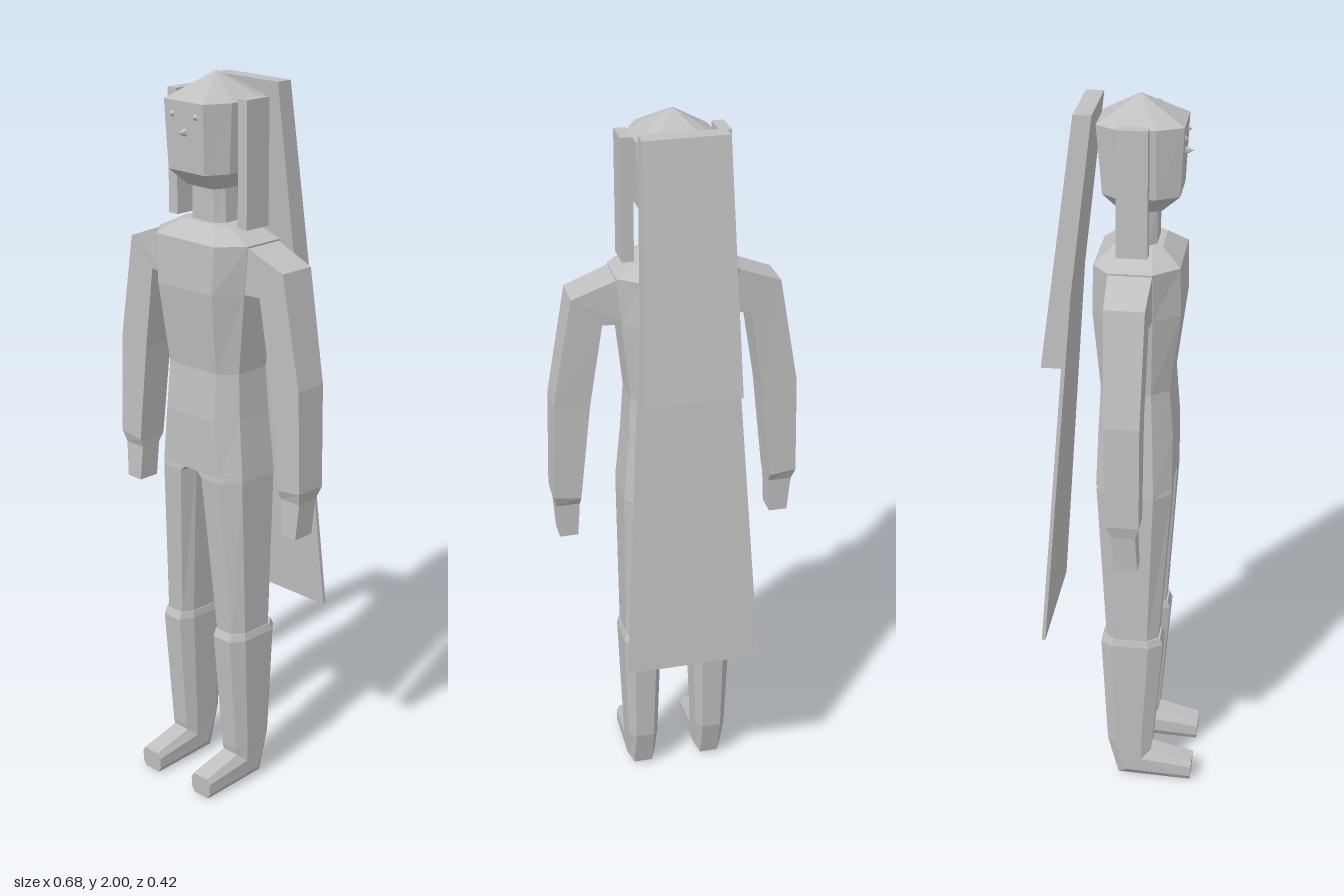
import * as THREE from 'three';

// Octagonal ring. x: [side, flat, flat, side], z: [back, flat, flat, front];
// y may be [back, front] for a tilted ring.
function oct(y, x, z) {
  const [yb, yf] = Array.isArray(y) ? y : [y, y];
  const p = (px, pz) => [px, yb + (yf - yb) * (pz - z[0]) / (z[3] - z[0]), pz];
  return [p(x[2], z[3]), p(x[3], z[2]), p(x[3], z[1]), p(x[2], z[0]),
    p(x[1], z[0]), p(x[0], z[1]), p(x[0], z[2]), p(x[1], z[3])];
}
// Symmetric octagonal ring about x = 0
const body = (y, w, f, z) => oct(y, [-w, -f, f, w], z);
// Four-cornered ring between an inner and outer edge
const quad = (xi, yi, xo, yo, zb, zf) =>
  [[xo, yo, zf], [xo, yo, zb], [xi, yi, zb], [xi, yi, zf]];

// Closed skin over rings listed from bottom to top
function loft(rings, mirror = false) {
  if (mirror) rings = rings.map(r => r.map(([x, y, z]) => [-x, y, z]).reverse());
  const n = rings[0].length, pos = [];
  const tri = (a, b, c) => pos.push(...a, ...b, ...c);
  for (let k = 0; k < rings.length - 1; k++) {
    const lo = rings[k], hi = rings[k + 1];
    for (let i = 0; i < n; i++) {
      const j = (i + 1) % n;
      tri(lo[i], lo[j], hi[j]);
      tri(lo[i], hi[j], hi[i]);
    }
  }
  const first = rings[0], last = rings[rings.length - 1];
  for (let i = 1; i < n - 1; i++) {
    tri(first[0], first[i + 1], first[i]);
    tri(last[0], last[i], last[i + 1]);
  }
  const g = new THREE.BufferGeometry();
  g.setAttribute('position', new THREE.Float32BufferAttribute(pos, 3));
  g.computeVertexNormals();
  return g;
}

export function createModel() {
  const model = new THREE.Group();
  model.name = 'standingFigure';
  const grey = new THREE.MeshStandardMaterial({ color: 0xc0c0c0, flatShading: true });
  grey.name = 'plain grey';
  const add = (name, geometry) => {
    const m = new THREE.Mesh(geometry, grey);
    m.name = name;
    model.add(m);
    return m;
  };

  // Torso from hips to shoulder slope
  add('torso', loft([
    body(0.945, 0.15, 0.105, [-0.065, -0.025, 0.095, 0.14]),
    body(1.1, 0.135, 0.09, [-0.06, -0.02, 0.09, 0.14]),
    body(1.23, 0.127, 0.087, [-0.053, -0.015, 0.085, 0.13]),
    body(1.45, 0.15, 0.1, [-0.072, -0.025, 0.09, 0.158]),
    body(1.58, 0.163, 0.105, [-0.068, -0.025, 0.09, 0.155]),
    body(1.62, 0.08, 0.06, [-0.02, 0.0, 0.08, 0.105]),
  ]));

  // Neck, head and pointed crown
  add('neck', loft([
    body(1.6, 0.06, 0.04, [-0.005, 0.02, 0.065, 0.088]),
    body(1.73, 0.055, 0.038, [-0.008, 0.02, 0.065, 0.09]),
  ]));
  add('head', loft([
    body(1.71, 0.06, 0.045, [-0.01, 0.015, 0.07, 0.1]),
    body(1.755, 0.097, 0.065, [-0.05, -0.01, 0.09, 0.148]),
    body(1.935, 0.105, 0.07, [-0.064, -0.015, 0.09, 0.157]),
    body(2.0, 0.001, 0.0005, [0.039, 0.0395, 0.0405, 0.041]),
  ]));

  // Small pointed eyes and nose
  for (const [name, x, y, len] of [['leftEye', 0.042, 1.9, 0.012],
    ['rightEye', -0.042, 1.9, 0.012], ['nose', 0, 1.857, 0.022]]) {
    const g = new THREE.ConeGeometry(0.011, len, 6).rotateX(Math.PI / 2);
    add(name, g).position.set(x, y, 0.153 + len / 2);
  }

  for (const [side, mirror] of [['left', false], ['right', true]]) {
    // Arm and hand
    add(side + 'Arm', loft([
      quad(0.274, 0.815, 0.325, 0.815, 0.012, 0.075),
      quad(0.268, 0.915, 0.333, 0.915, 0.008, 0.07),
      quad(0.266, 0.94, 0.341, 0.95, -0.008, 0.08),
      quad(0.236, 1.22, 0.334, 1.23, -0.012, 0.08),
      quad(0.2, 1.452, 0.28, 1.53, -0.018, 0.086),
      quad(0.13, 1.45, 0.145, 1.582, -0.025, 0.09),
    ], mirror));

    // Upper leg
    add(side + 'Leg', loft([
      oct(0.47, [0.055, 0.07, 0.125, 0.148], [-0.035, -0.01, 0.08, 0.11]),
      oct(0.93, [0.026, 0.04, 0.105, 0.15], [-0.064, -0.025, 0.095, 0.14]),
      oct(0.955, [0.0, 0.01, 0.1, 0.148], [-0.062, -0.025, 0.095, 0.138]),
    ], mirror));

    // Boot with a mitred ankle and flat toe
    add(side + 'Boot', loft([
      oct([0.0, 0.062], [0.065, 0.074, 0.127, 0.136], [0.206, 0.207, 0.209, 0.21]),
      oct([0.008, 0.092], [0.06, 0.074, 0.127, 0.143], [-0.002, 0.022, 0.065, 0.09]),
      oct([0.125, 0.11], [0.058, 0.074, 0.127, 0.145], [-0.033, -0.008, 0.065, 0.094]),
      oct(0.46, [0.049, 0.068, 0.13, 0.155], [-0.05, -0.02, 0.085, 0.123]),
      oct(0.48, [0.052, 0.068, 0.128, 0.15], [-0.042, -0.015, 0.083, 0.115]),
    ], mirror));

    // Upright strip beside the head
    add(side + 'HeadStrip', new THREE.BoxGeometry(0.032, 0.33, 0.08))
      .position.set(mirror ? -0.127 : 0.127, 1.78, 0.035);
  }

  // Leaning slab behind the head and shoulders
  add('backSlab', loft([
    quad(-0.13, 1.295, 0.13, 1.295, -0.205, -0.148),
    quad(-0.112, 1.97, 0.112, 1.97, -0.115, -0.068),
  ]));

  // Long thin cape flaring below the slab
  add('cape', loft([
    quad(-0.185, 0.485, 0.185, 0.485, -0.21, -0.2),
    quad(-0.125, 1.5, 0.125, 1.5, -0.135, -0.124),
  ]));

  return model;
}
